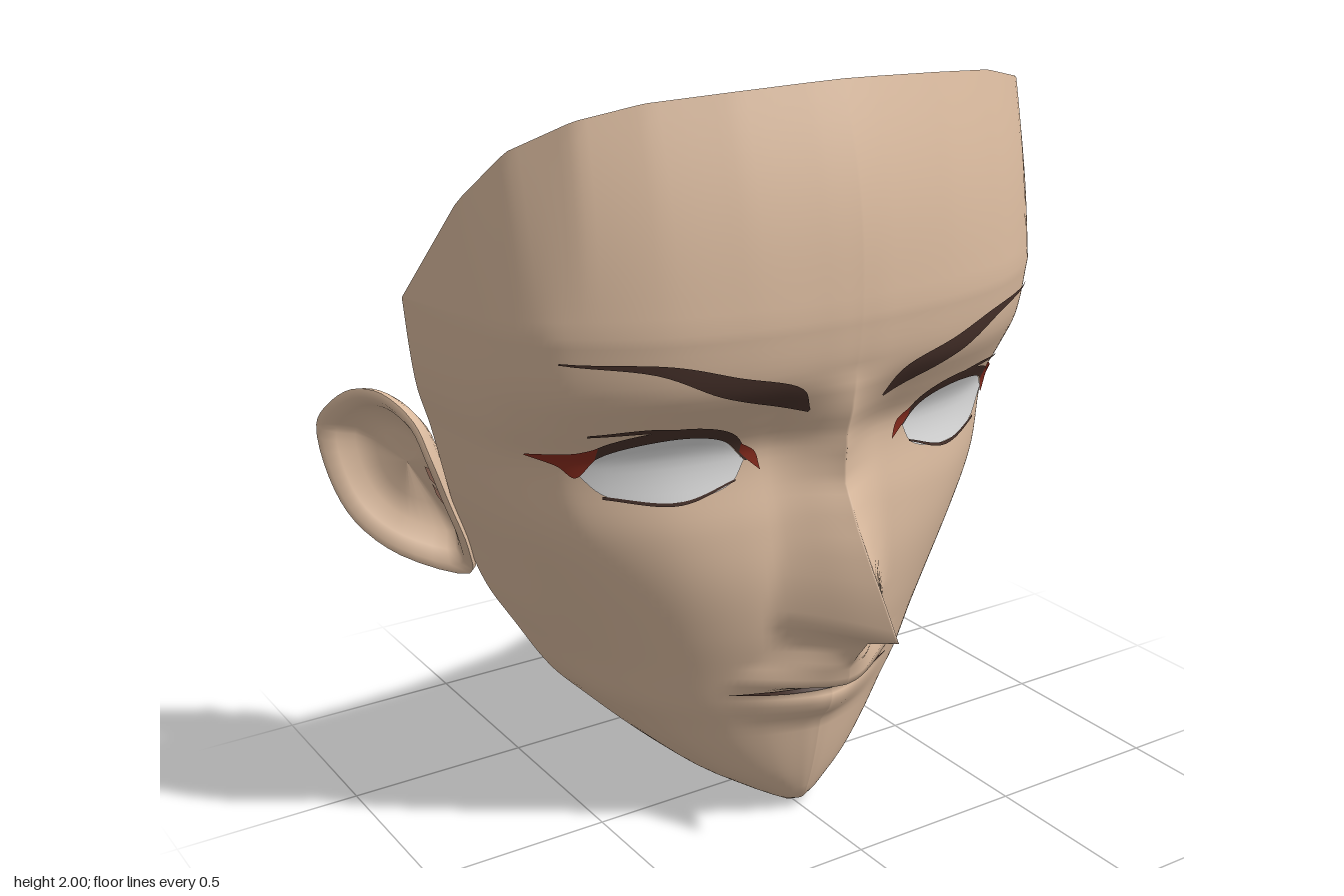
import * as THREE from 'three';

const { lerp, clamp, smoothstep } = THREE.MathUtils;
const material = (name, color) => {
  const m = new THREE.MeshStandardMaterial({ color, side: THREE.DoubleSide });
  m.name = name;
  return m;
};

// Smooth (Hermite) interpolation through keys
function sample(xs, ys, x) {
  const n = xs.length;
  let i = 0;
  while (i < n - 2 && x > xs[i + 1]) i++;
  const slope = k => {
    const a = Math.max(k - 1, 0), b = Math.min(k + 1, n - 1);
    return (ys[b] - ys[a]) / (xs[b] - xs[a]);
  };
  const h = xs[i + 1] - xs[i], t = clamp((x - xs[i]) / h, 0, 1);
  const t2 = t * t, t3 = t2 * t;
  return (2 * t3 - 3 * t2 + 1) * ys[i] + (t3 - 2 * t2 + t) * h * slope(i)
    + (3 * t2 - 2 * t3) * ys[i + 1] + (t3 - t2) * h * slope(i + 1);
}

// Head rows: y, half width, front z, jaw-line z, neck-edge x, neck-edge z
const rows = [
  [0, 0.015, 0.18, 0.165, 0, 0.16], [0.03, 0.08, 0.23, 0.09, 0, 0.04],
  [0.06, 0.14, 0.247, 0.05, 0, -0.1], [0.12, 0.24, 0.268, 0, 0.12, -0.14],
  [0.2, 0.34, 0.289, -0.08, 0.22, -0.21], [0.3, 0.445, 0.31, -0.17, 0.34, -0.29],
  [0.38, 0.52, 0.329, -0.23, 0.42, -0.34], [0.5, 0.585, 0.355, -0.31, 0.5, -0.39],
  [0.6, 0.635, 0.37, -0.365, 0.56, -0.43], [0.75, 0.69, 0.373, -0.37, 0.63, -0.51],
  [0.9, 0.74, 0.356, -0.34, 0.69, -0.55], [1.1, 0.79, 0.328, -0.325, 0.79, -0.33],
  [1.2, 0.82, 0.38, -0.32, 0.82, -0.32], [1.3, 0.838, 0.44, -0.31, 0.838, -0.31],
  [1.45, 0.855, 0.465, -0.3, 0.855, -0.3]];
const rowY = rows.map(r => r[0]);
const columns = [1, 2, 3, 4, 5].map(k => rows.map(r => r[k]));
const row = (k, y) => sample(rowY, columns[k], y);

// Half cross-section, from the middle of the face to its side edge
const keyIndex = [0, 1, 2, 3, 4, 5, 6, 7];
const keyX = [0, 0.12, 0.35, 0.58, 0.77, 0.88, 0.96, 1];
const browZ = [1, 0.995, 0.965, 0.895, 0.775, 0.65, 0.44, 0];
const jawZ = [1, 0.98, 0.91, 0.79, 0.63, 0.47, 0.27, 0];
const rim = [[0, 2, 0.37], [0.1, 1.998, 0.368], [0.3, 1.99, 0.35], [0.5, 1.975, 0.3],
  [0.65, 1.94, 0.24], [0.76, 1.865, 0.12], [0.83, 1.74, 0], [0.855, 1.45, -0.3]];

// Nose and lips: y, height, half width
const ridge = [[0.3, 0, 0.2], [0.33, 0.015, 0.24], [0.36, 0.032, 0.27], [0.4, 0.03, 0.29],
  [0.425, 0.005, 0.3], [0.44, 0.075, 0.3], [0.475, 0.085, 0.28], [0.5, 0.08, 0.23],
  [0.55, 0.105, 0.18], [0.6, 0.14, 0.18], [0.65, 0.263, 0.19], [0.7, 0.228, 0.185],
  [0.8, 0.16, 0.175], [0.9, 0.104, 0.17], [1, 0.07, 0.17], [1.1, 0.082, 0.18],
  [1.2, 0.05, 0.2], [1.3, 0, 0.22]];
function bump(x, y) {
  const i = ridge.findIndex(r => r[0] >= y);
  if (i < 1) return 0;
  const [a, b] = [ridge[i - 1], ridge[i]], f = (y - a[0]) / (b[0] - a[0]);
  const t = Math.max(0, 1 - Math.abs(x) / lerp(a[2], b[2], f));
  return lerp(a[1], b[1], f) * (y < 0.54 ? t * t * (3 - 2 * t) : t ** 1.6);
}

// Face point at cross-section position s (0 middle, 7 side) and height y
function facePoint(s, y) {
  const zn = lerp(sample(keyIndex, jawZ, s), sample(keyIndex, browZ, s), smoothstep(y, 0.3, 1));
  const x = row(0, y) * sample(keyIndex, keyX, s), zm = row(2, y);
  return [x, y, zm + (row(1, y) - zm) * zn + bump(x, y)];
}
function faceZ(x, y) {
  let lo = 0, hi = 7;
  for (let i = 0; i < 24; i++) {
    const mid = (lo + hi) / 2;
    if (facePoint(mid, y)[0] < Math.abs(x)) lo = mid; else hi = mid;
  }
  return facePoint(lo, y)[2];
}

// Surface from a rule of (u, v), both 0..1
function sheet(parent, name, mat, nu, nv, rule) {
  const pos = [], index = [];
  for (let j = 0; j <= nv; j++) for (let i = 0; i <= nu; i++) pos.push(...rule(i / nu, j / nv));
  for (let j = 0; j < nv; j++) for (let i = 0; i < nu; i++) {
    const a = j * (nu + 1) + i, b = a + nu + 1;
    index.push(a, a + 1, b + 1, a, b + 1, b);
  }
  const g = new THREE.BufferGeometry();
  g.setAttribute('position', new THREE.Float32BufferAttribute(pos, 3));
  g.setIndex(index);
  g.computeVertexNormals();
  const mesh = new THREE.Mesh(g, mat);
  mesh.name = name;
  parent.add(mesh);
}

const spline = pts => new THREE.CatmullRomCurve3(pts.map(p => new THREE.Vector3(p[0], p[1], 0)));

// Thin painted plate on the face between a lower and an upper line
function plate(parent, name, mat, lower, upper, offset) {
  const lo = spline(lower), up = spline(upper);
  sheet(parent, name, mat, 28, 8, (u, v) => {
    const p = lo.getPoint(u).lerp(up.getPoint(u), v);
    return [p.x, p.y, faceZ(p.x, p.y) + offset];
  });
}

export function createModel() {
  const skin = material('skin', 0xdcbca0), blush = material('blush skin', 0xc8927c);
  const dark = material('dark brown', 0x48322b), red = material('deep red', 0x882c1e);
  const white = material('eye white', 0xe2e2e2);
  const model = new THREE.Group();
  model.name = 'faceMask';

  // Face and forehead as one smooth open shell
  const lowerRows = 58, upperRows = 12, total = lowerRows + upperRows;
  sheet(model, 'faceShell', skin, 112, total, (u, v) => {
    const side = u * 2 - 1, s = 7 * Math.abs(side) ** 1.3, sign = Math.sign(side);
    const r = Math.round(v * total);
    if (r <= lowerRows) {
      const p = facePoint(s, 1.45 * r / lowerRows);
      return [p[0] * sign, p[1], p[2]];
    }
    const f = (r - lowerRows) / upperRows, k = Math.min(6, Math.floor(s));
    const q = facePoint(s, 1.45).map((c, i) => lerp(c, lerp(rim[k][i], rim[k + 1][i], s - k), f));
    return [q[0] * sign, q[1], q[2] + 0.03 * Math.sin(Math.PI * f) * (1 - s / 7)];
  });

  // Mouth: dark line, rounded cavity behind it, and narrow inner lips
  const mouthLine = h => [[-0.26, 0.422], [-0.15, 0.42 + h], [0, 0.42 + h], [0.15, 0.42 + h], [0.26, 0.422]];
  plate(model, 'mouthLine', dark, mouthLine(-0.005), mouthLine(0.006), 0.006);
  sheet(model, 'mouthCavity', red, 48, 20, (u, v) => {
    const a = u * Math.PI * 2, b = (v - 0.5) * Math.PI, c = Math.cos(a);
    const wide = Math.sign(c) * Math.abs(c) ** (Math.sin(a) > 0 ? 0.6 : 1);
    return [0.215 * wide * Math.cos(b), 0.44 + 0.1 * Math.sin(b), 0.178 - 0.15 * Math.sin(a) * Math.cos(b)];
  });
  for (const d of [-1, 1]) sheet(model, 'innerLip', skin, 24, 3, (u, v) => {
    const x = (u * 2 - 1) * 0.27, corner = Math.abs(u * 2 - 1) ** 3;
    return [x * (1 + 0.1 * v), 0.42 + d * 0.07 * v, faceZ(x, 0.42) - 0.012 - (0.02 + 0.08 * corner) * v];
  });

  for (const sign of [1, -1]) {
    const half = new THREE.Group();
    half.name = sign > 0 ? 'leftSide' : 'rightSide';
    half.scale.x = sign;
    model.add(half);

    // Underside of the jaw, from jaw line to neck edge and up behind the ear
    sheet(half, 'jawUnderside', blush, 6, 40, (u, v) => {
      const y = 0.9 * v;
      return [lerp(row(0, y), Math.max(0, row(3, y)), u), y, lerp(row(2, y), row(4, y), u)];
    });

    // Eyebrow
    plate(half, 'eyebrow', dark,
      [[0.115, 1.208], [0.2, 1.236], [0.36, 1.287], [0.52, 1.36], [0.71, 1.386]],
      [[0.11, 1.215], [0.15, 1.28], [0.33, 1.337], [0.49, 1.38], [0.71, 1.39]], 0.008);

    // Eye: front and rounder back of the white, lashes and red corners
    const eyeLow = [[0.245, 1.085], [0.28, 1.03], [0.41, 0.998], [0.57, 1.02], [0.635, 1.085]];
    const eyeTop = [[0.245, 1.085], [0.31, 1.148], [0.43, 1.172], [0.57, 1.14], [0.635, 1.085]];
    const oval = d => [...Array(13).keys()].map(i =>
      [0.44 - 0.2 * Math.cos(i * Math.PI / 12), 1.085 + d * 0.145 * Math.sin(i * Math.PI / 12)]);
    plate(half, 'eyeWhite', white, eyeLow, eyeTop, 0.005);
    plate(half, 'eyeWhiteBack', white, oval(-1), oval(1), -0.008);
    plate(half, 'upperLash', dark, eyeTop,
      [[0.225, 1.085], [0.295, 1.17], [0.43, 1.203], [0.58, 1.17], [0.66, 1.1]], 0.009);
    plate(half, 'lashCrease', dark, [[0.36, 1.188], [0.5, 1.196], [0.63, 1.188]],
      [[0.36, 1.192], [0.5, 1.208], [0.63, 1.194]], 0.009);
    plate(half, 'lowerLash', dark, [[0.27, 1.035], [0.41, 0.99], [0.58, 1.014]],
      [[0.27, 1.04], [0.41, 0.999], [0.58, 1.022]], 0.008);
    plate(half, 'innerCorner', red, [[0.205, 1.055], [0.235, 1.082], [0.262, 1.11]],
      [[0.205, 1.058], [0.22, 1.105], [0.262, 1.135]], 0.01);
    plate(half, 'outerCorner', red, [[0.6, 1.118], [0.635, 1.07], [0.67, 1.1], [0.725, 1.122]],
      [[0.6, 1.155], [0.64, 1.14], [0.68, 1.135], [0.725, 1.126]], 0.01);

    // Socket tapering to a point behind the eye
    const apex = new THREE.Vector3(0.38, 1.08, 0.05);
    const socket = (name, mat, line, t0, t1, f0, f1) => {
      const lid = spline(line);
      sheet(half, name, mat, 16, 4, (u, v) => {
        const p = lid.getPoint(lerp(t0, t1, u));
        p.z = faceZ(p.x, p.y) - 0.014;
        return p.lerp(apex, lerp(f0, f1, v)).toArray();
      });
    };
    socket('socketRoof', dark, eyeTop, 0.16, 0.84, 0, 0.25);
    socket('socketRoofBack', dark, eyeTop, 0, 1, 0.25, 1);
    socket('socketInnerCorner', red, eyeTop, 0, 0.16, 0, 0.25);
    socket('socketOuterCorner', red, eyeTop, 0.84, 1, 0, 0.25);
    socket('socketFloor', skin, eyeLow, 0, 0.6, 0, 1);
    socket('socketFloorOuter', dark, eyeLow, 0.6, 1, 0, 1);

    // Ear: hollow front inside a rolled rim, deep back reaching the head
    const earRim = new THREE.CatmullRomCurve3([[0.79, 1, -0.33], [0.82, 1.1, -0.36], [0.87, 1.165, -0.44],
      [0.92, 1.165, -0.52], [0.965, 1.11, -0.59], [0.983, 1.05, -0.628], [0.965, 0.9, -0.612],
      [0.92, 0.78, -0.565], [0.83, 0.69, -0.48], [0.67, 0.63, -0.395], [0.69, 0.72, -0.35],
      [0.745, 0.87, -0.335]].map(p => new THREE.Vector3(...p)), true);
    const hollow = new THREE.Vector3(0.84, 0.95, -0.46), root = new THREE.Vector3(0.81, 0.9, -0.475);
    const normal = new THREE.Vector3(0.86, 0, 0.51);
    const ring = (centre, u, scale, depth) => earRim.getPoint((u + 1) % 1).sub(centre)
      .multiplyScalar(scale).add(centre).addScaledVector(normal, depth).toArray();
    const steps = [0, 0.1, 0.22, 0.35, 0.6, 1], depths = [0, 0.008, -0.012, -0.05, -0.06, -0.055];
    sheet(half, 'earFront', skin, 48, 5, (u, v) => {
      const k = Math.round(v * 5);
      return ring(hollow, 1 - u, 1 - steps[k], depths[k]);
    });
    for (const [from, to] of [[0.96, 0.9], [0.88, 0.83]]) sheet(half, 'earBlush', blush, 4, 2,
      (u, v) => ring(hollow, lerp(from, to, u), lerp(0.62, 0.4, v), -0.046 - 0.008 * v));
    sheet(half, 'earBack', skin, 48, 4, (u, v) => ring(root, u, 1 - 0.35 * v * v, -0.09 * v));
    sheet(half, 'earRoot', blush, 48, 4, (u, v) => ring(root, u, 0.65 - 0.4 * v, -0.09 - 0.05 * v));
  }
  return model;
}
